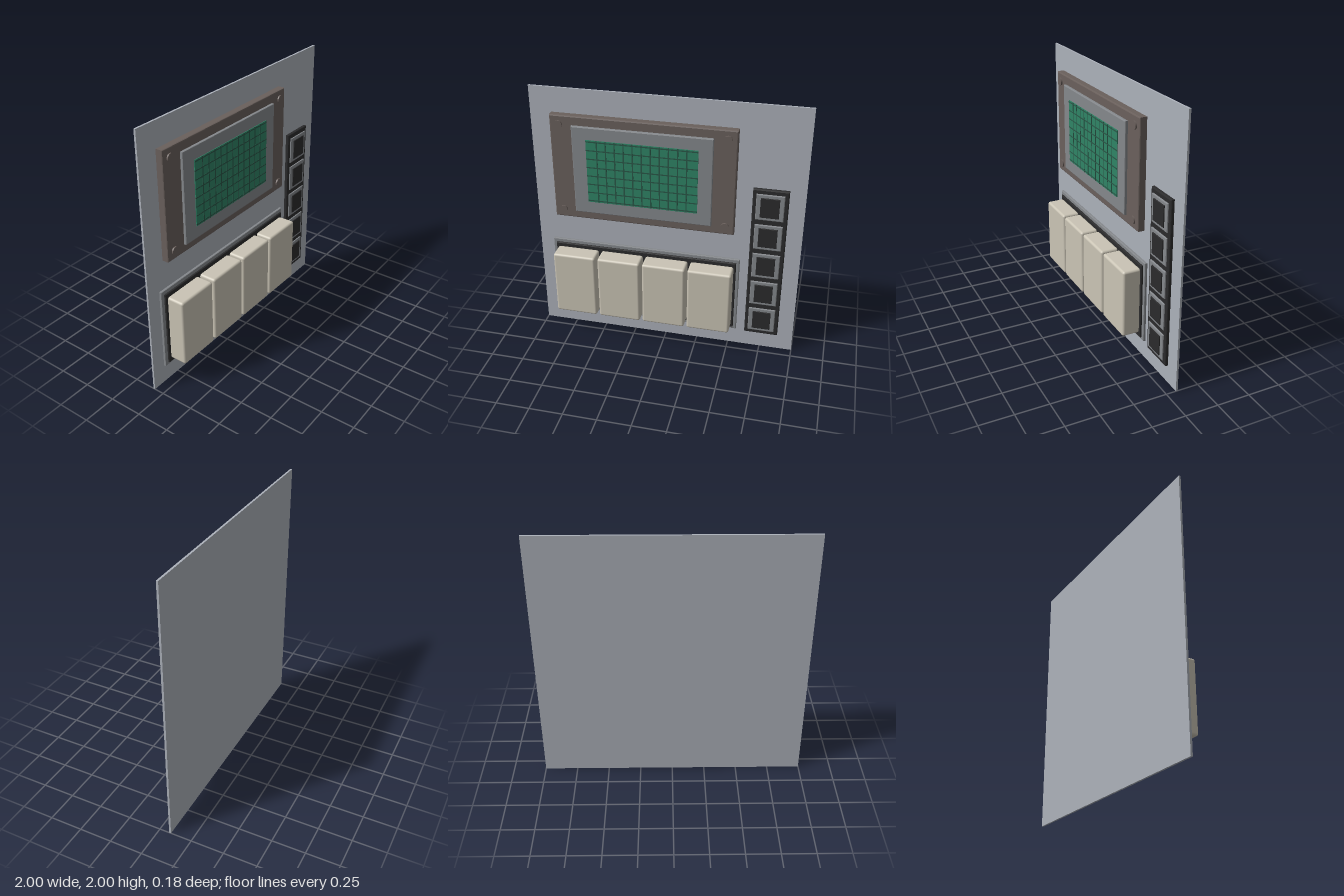
import * as THREE from 'three';
import { RoundedBoxGeometry } from 'three/addons/geometries/RoundedBoxGeometry.js';

const BACK = -0.085; // raised parts start just inside the panel

function material(name, color) {
  const m = new THREE.MeshStandardMaterial({ color });
  m.name = name;
  return m;
}

export function createModel() {
  const group = new THREE.Group();
  const panelGrey = material('panel grey', 0xacb1ba);
  const brown = material('housing brown', 0x6a605c);
  const trimGrey = material('trim grey', 0x85888c);
  const green = material('screen green', 0x2f8466);
  const darkGreen = material('grid line green', 0x295747);
  const black = material('black plastic', 0x2b2b2c);
  const cream = material('key cream', 0xcac4b5);

  function add(name, geometry, mat, x, y, z) {
    const mesh = new THREE.Mesh(geometry, mat);
    mesh.name = name;
    mesh.position.set(x, y, z);
    group.add(mesh);
    return mesh;
  }

  // Rectangular plate with chamfered edges, from z0 to z1
  function plate(name, mat, x0, x1, y0, y1, z1, bevel = 0.006, z0 = BACK) {
    const w = (x1 - x0) / 2 - bevel, h = (y1 - y0) / 2 - bevel;
    const shape = new THREE.Shape([
      new THREE.Vector2(-w, -h), new THREE.Vector2(w, -h),
      new THREE.Vector2(w, h), new THREE.Vector2(-w, h),
    ]);
    const geometry = new THREE.ExtrudeGeometry(shape, {
      depth: z1 - z0 - 2 * bevel, bevelEnabled: true,
      bevelThickness: bevel, bevelSize: bevel, bevelSegments: 2,
    });
    return add(name, geometry, mat, (x0 + x1) / 2, (y0 + y1) / 2, z0 + bevel);
  }

  // Back panel
  add('backPanel', new THREE.BoxGeometry(2, 2, 0.015), panelGrey, 0, 1, -0.0825);

  // Display housing, bezel and screen
  plate('displayHousing', brown, -0.84, 0.51, 1.005, 1.815, -0.022, 0.008);
  plate('displayBezel', trimGrey, -0.676, 0.346, 1.068, 1.748, -0.001, 0.006, -0.03);
  add('screen', new THREE.BoxGeometry(0.812, 0.49, 0.008), green, -0.163, 1.41, 0);

  // Screen grid lines
  for (let i = -5; i <= 5; i++) {
    add('screenLineVertical', new THREE.BoxGeometry(0.009, 0.49, 0.003), darkGreen,
      -0.163 + i * 0.0652, 1.41, 0.004);
  }
  for (let i = -3.5; i <= 3.5; i++) {
    add('screenLineHorizontal', new THREE.BoxGeometry(0.812, 0.009, 0.003), darkGreen,
      -0.163, 1.41 + i * 0.0665, 0.0038);
  }

  // Corner screws
  for (const x of [-0.774, 0.444]) {
    for (const y of [1.07, 1.748]) {
      const screw = new THREE.CylinderGeometry(0.029, 0.029, 0.02, 24).rotateX(Math.PI / 2);
      add('displayScrew', screw, brown, x, y, -0.021);
    }
  }

  // Key tray with four large keys
  plate('keyTrayFrame', trimGrey, -0.892, 0.562, 0.145, 0.778, -0.056);
  plate('keyTrayBed', black, -0.866, 0.538, 0.168, 0.75, -0.042);
  for (let i = 0; i < 4; i++) {
    add('largeKey', new RoundedBoxGeometry(0.328, 0.522, 0.14, 3, 0.018), cream,
      -0.685 + i * 0.348, 0.461, 0.02);
  }

  // Column of five square buttons
  plate('buttonStrip', black, 0.628, 0.884, 0.138, 1.382, -0.051, 0.008);
  for (let i = 0; i < 5; i++) {
    const y = 0.272 + i * 0.2435;
    plate('buttonFrame', trimGrey, 0.654, 0.856, y - 0.102, y + 0.102, -0.041);
    plate('buttonCap', black, 0.687, 0.823, y - 0.077, y + 0.077, -0.033, 0.002);
  }

  return group;
}
